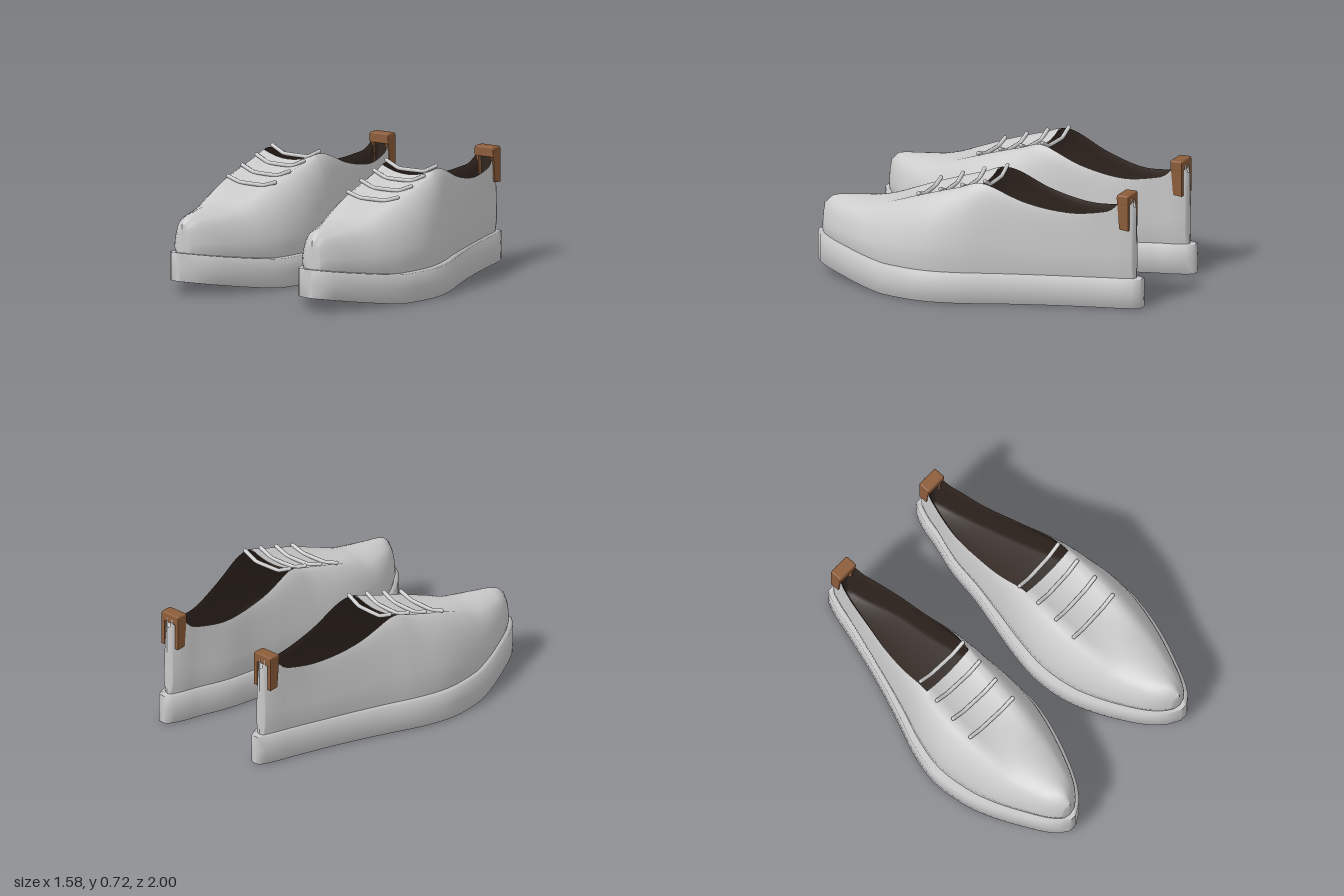
import * as THREE from 'three';
import { RoundedBoxGeometry } from 'three/addons/geometries/RoundedBoxGeometry.js';

// Smooth function through [z, value] points
function through(pts) {
  const n = pts.length;
  const slope = i => {
    const a = pts[Math.max(i - 1, 0)], b = pts[Math.min(i + 1, n - 1)];
    return (b[1] - a[1]) / (b[0] - a[0]);
  };
  return z => {
    let i = 0;
    while (i < n - 2 && z > pts[i + 1][0]) i++;
    const h = pts[i + 1][0] - pts[i][0];
    const t = THREE.MathUtils.clamp((z - pts[i][0]) / h, 0, 1), t2 = t * t, t3 = t2 * t;
    return (2 * t3 - 3 * t2 + 1) * pts[i][1] + (t3 - 2 * t2 + t) * h * slope(i)
      + (3 * t2 - 2 * t3) * pts[i + 1][1] + (t3 - t2) * h * slope(i + 1);
  };
}

// Plan outline: inner and outer edge of the sole
const inner = through([[-1, .34], [-.96, .318], [-.88, .289], [-.8, .272], [-.6, .215], [-.4, .185], [-.2, .14],
  [0, .095], [.2, .07], [.4, .09], [.6, .155], [.8, .25], [.9, .315], [.97, .385], [1, .44]]);
const outer = through([[-1, .40], [-.96, .42], [-.88, .447], [-.8, .467], [-.6, .525], [-.4, .59], [-.2, .665],
  [0, .745], [.2, .79], [.4, .775], [.6, .72], [.8, .635], [.9, .585], [.97, .535], [1, .49]]);
const mid = z => (inner(z) + outer(z)) / 2;
const half = z => (outer(z) - inner(z)) / 2;
const ledge = through([[-.96, .02], [-.5, .016], [0, .03], [.85, .022], [.93, .026], [.965, .035]]);

// Collar / lace-edge height and half width, and dip of the vamp between them
const rimY = through([[-.96, .57], [-.95, .63], [-.935, .665], [-.88, .63], [-.84, .592], [-.8, .575], [-.6, .555],
  [-.35, .6], [-.13, .685], [-.05, .69], [.05, .655], [.15, .625], [.32, .57], [.5, .505], [.62, .465],
  [.8, .445], [.92, .43], [.965, .385]]);
const rimW = through([[-.96, .008], [-.93, .028], [-.9, .05], [-.86, .064], [-.8, .082], [-.6, .125], [-.4, .158],
  [-.2, .18], [-.05, .175], [.15, .168], [.32, .16], [.5, .14], [.7, .105], [.85, .07], [.965, .02]]);
const dip = through([[-.2, .04], [-.05, .04], [.3, .028], [.45, .005], [.6, -.02], [.965, -.025]]);
const toeSpring = z => Math.pow(Math.max(0, z - .48) / .52, 1.15);
const soleTop = z => .175 + .075 * toeSpring(z);
const isOpen = z => z > -.915 && z < -.04;

function stations(a, b, n) {
  return Array.from({ length: n + 1 }, (_, i) => a + (b - a) * i / n);
}

// Skin over cross-sections; s = -1 mirrors in x
function loft(sections, s, wrap, keep = () => true) {
  const n = sections[0].length, pos = [], index = [];
  sections.forEach(sec => sec.forEach(p => pos.push(p[0] * s, p[1], p[2])));
  for (let i = 0; i < sections.length - 1; i++) {
    for (let j = 0; j < (wrap ? n : n - 1); j++) {
      if (!keep(i, j)) continue;
      const a = i * n + j, b = i * n + (j + 1) % n, c = a + n, d = b + n;
      if (s > 0) index.push(a, b, c, b, d, c);
      else index.push(a, c, b, b, c, d);
    }
  }
  const g = new THREE.BufferGeometry();
  g.setAttribute('position', new THREE.Float32BufferAttribute(pos, 3));
  g.setIndex(index);
  g.computeVertexNormals();
  return g;
}

// Close both ends by repeating the end sections pinched to the centre line, bulging by a little
function closed(sections, bulge) {
  const pinch = (sec, dz) => {
    const c = (sec[0][0] + sec[sec.length - 1][0]) / 2;
    return sec.map(p => [c, p[1], p[2] + dz]);
  };
  return [pinch(sections[0], -bulge), ...sections, pinch(sections[sections.length - 1], bulge)];
}

const WALL = 9, ACROSS = 7, BEND = 1.42;

// One arch of the upper: wall, across the vamp, wall
function arch(z, inset) {
  const c = mid(z), w = Math.max(half(z) - ledge(z), .022), wc = Math.min(rimW(z), w);
  const y0 = soleTop(z) - .005, yc = rimY(z), wall = [], top = [];
  for (let k = 0; k < WALL; k++) {
    const t = BEND * k / (WALL - 1);
    const x = wc + (w - wc) * (Math.cos(t) - Math.cos(BEND)) / (1 - Math.cos(BEND));
    const y = y0 + (yc - y0) * Math.sin(t) / Math.sin(BEND);
    const f = k === WALL - 1 && isOpen(z) ? 0 : inset;
    const tuck = k === 0 ? .012 : 0;
    wall.push([Math.max(x - f - tuck, .004), k === 0 ? y + inset * 2 : y - f]);
  }
  const rim = wall[WALL - 1];
  for (let k = 1; k <= ACROSS; k++) {
    const u = 1 - 2 * k / (ACROSS + 1);
    top.push([c + rim[0] * u, rim[1] - dip(z) * (1 - u * u), z]);
  }
  return [...wall.map(p => [c + p[0], p[1], z]), ...top,
    ...wall.slice().reverse().map(p => [c - p[0], p[1], z])];
}

function soleRing(z) {
  const c = mid(z), w = half(z), yt = soleTop(z), yb = .08 * toeSpring(z);
  const side = [[.04, yb], [0, yb + .002], [0, (yb + yt) / 2], [0, yt - .002], [.04, yt]]
    .map(p => [Math.max(w - p[0], .004), p[1]]);
  return [...side.map(p => [c + p[0], p[1], z]), ...side.reverse().map(p => [c - p[0], p[1], z])];
}

function createShoe(s) {
  const shoe = new THREE.Group();
  const add = (name, geometry, color = 0xcccccc, side = THREE.FrontSide) => {
    const m = new THREE.Mesh(geometry, new THREE.MeshStandardMaterial({ color, side }));
    m.name = name;
    shoe.add(m);
    return m;
  };

  // Sole with raised toe
  add('sole', loft(closed(stations(-1, 1, 50).map(soleRing), 0), s, true));

  // Upper, left open between the walls behind the laces
  const zs = [...stations(-.955, -.915, 4), ...stations(-.9, -.05, 28), ...stations(-.035, .92, 32), .94, .955, .963];
  const skip = list => (i, j) => {
    const a = list[Math.max(i - 1, 0)], b = list[Math.min(i, list.length - 1)];
    return !(j >= WALL - 1 && j < WALL + ACROSS && (isOpen(a) || isOpen(b)));
  };
  add('upper', loft(closed(zs.map(z => arch(z, 0)), .008), s, false, skip(zs)), 0xcccccc, THREE.DoubleSide);

  // Dark lining and insole
  const zl = zs.filter(z => z > -.92 && z < .6);
  add('lining', loft(closed(zl.map(z => arch(z, .012)), 0), s, true, skip(zl)), 0x30251f, THREE.DoubleSide);

  // Laces bent over the vamp
  for (const z of [-.092, .048, .182, .32]) {
    const c = mid(z) - .005, pts = [-.17, -.085, .085, .17].map((x, k) => new THREE.Vector3(
      s * (c + x), rimY(z) + .012 - (k % 3 ? dip(z) : 0), z - x * .04));
    const path = new THREE.CatmullRomCurve3(pts, false, 'catmullrom', .1);
    add('lace', new THREE.TubeGeometry(path, 16, .012, 8));
    for (const p of [pts[0], pts[3]]) add('laceEnd', new THREE.SphereGeometry(.012, 8, 6)).position.copy(p);
  }

  // Heel tab: a strap folded over the back of the collar
  const flap = new THREE.Shape([[.868, .665], [.94, .67], [.94, .47], [.885, .475]]
    .map(p => new THREE.Vector2(p[0], p[1])));
  for (const d of [-1, 1]) {
    const g = new THREE.ExtrudeGeometry(flap, { depth: .024, bevelEnabled: false });
    g.rotateY(Math.PI / 2);
    g.translate(s * .37 + d * .054 - .012, 0, 0);
    add('heelTabFlap', g, 0x8c5c3a);
  }
  add('heelTabTop', new RoundedBoxGeometry(.134, .062, .076, 2, .01), 0x8c5c3a).position.set(s * .37, .65, -.904);
  return shoe;
}

export function createModel() {
  const model = new THREE.Group();
  model.name = 'pairOfShoes';
  for (const s of [1, -1]) {
    const shoe = createShoe(s);
    shoe.name = s > 0 ? 'leftShoe' : 'rightShoe';
    model.add(shoe);
  }
  return model;
}
